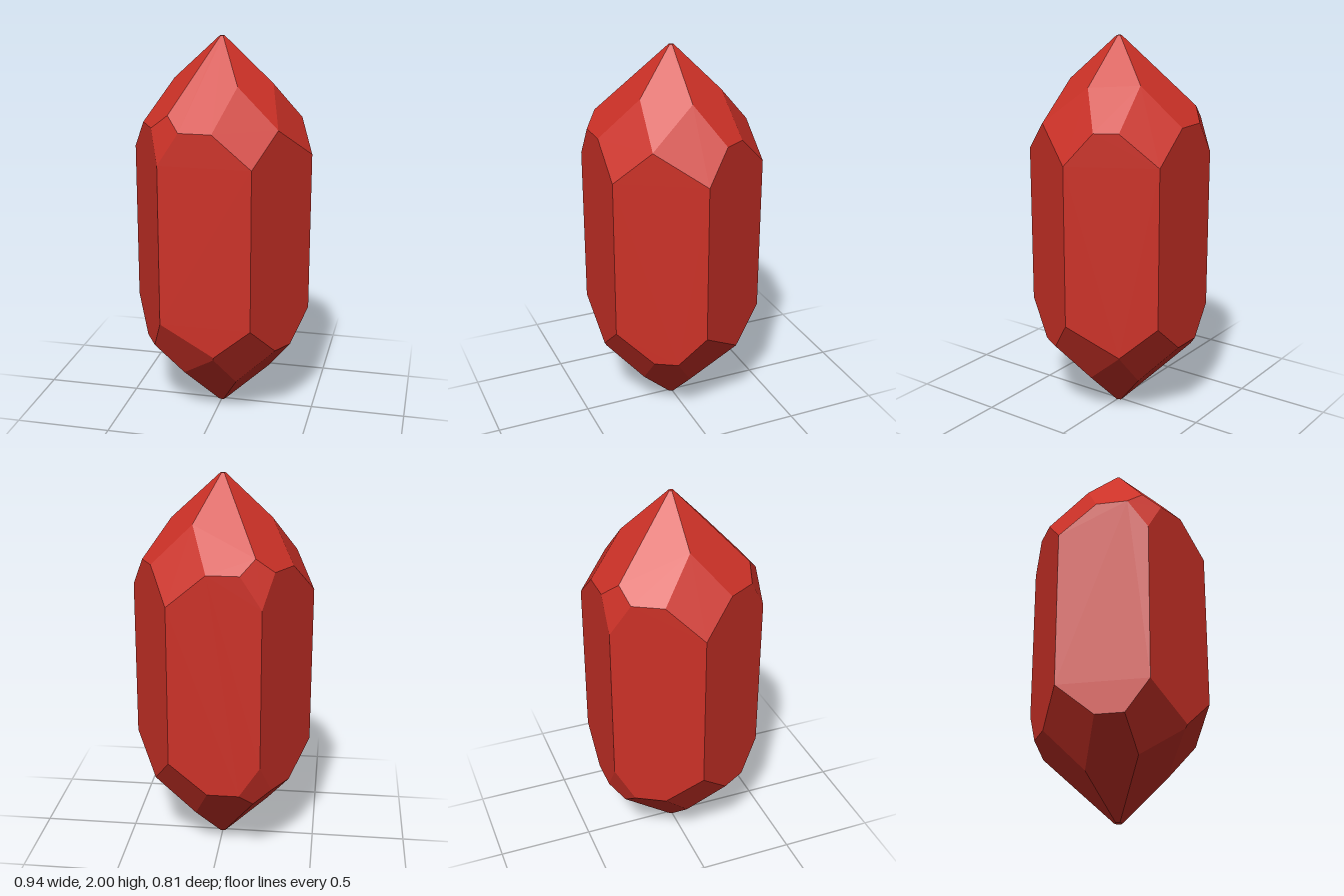
import * as THREE from 'three';
import { ConvexGeometry } from 'three/addons/geometries/ConvexGeometry.js';

const APOTHEM = 0.405;
const RADIUS = APOTHEM / Math.cos(Math.PI / 6);

// Corner facets at 0, 60, ... 300 degrees round from +x towards +z:
// [slope outwards, slope sideways]
const TOP_FACETS = [[1.73, 0.3], [1.68, 0], [3.07, 0], [1.68, 0], [3.07, 0], [1.68, 0]];
const BOTTOM_FACETS = [[1.73, -0.3], [1.68, 0], [1.9, -0.44], [1.68, 0], [3.07, 0], [1.68, 0]];

// Cutting planes; y is measured from the middle of the crystal
function crystalPlanes() {
  const planes = [];
  const add = (x, y, z, w) => {
    const n = new THREE.Vector3(x, y, z);
    const length = n.length();
    planes.push({ n: n.divideScalar(length), w: w / length });
  };
  for (let i = 0; i < 6; i++) {
    const a = (i * Math.PI) / 3 + Math.PI / 6;
    add(Math.cos(a), 0, Math.sin(a), APOTHEM); // prism side
  }
  for (const [up, facets, apex] of [[1, TOP_FACETS, 1.012], [-1, BOTTOM_FACETS, 1.02]]) {
    add(0, up, 0, 1); // blunt tip
    const pitch = (apex - 0.58) / APOTHEM;
    facets.forEach(([out, side], i) => {
      const corner = (i * Math.PI) / 3;
      const a = corner + Math.PI / 6;
      add(pitch * Math.cos(a), up, pitch * Math.sin(a), apex); // point face
      const c = Math.cos(corner), s = Math.sin(corner);
      add(out * c - side * s, up, out * s + side * c, 0.415 + out * RADIUS); // corner facet
    });
  }
  return planes;
}

// Corners of the solid: every meeting of three planes that no other plane cuts off
function solidCorners(planes) {
  const points = [];
  const count = planes.length;
  for (let i = 0; i < count; i++) {
    for (let j = i + 1; j < count; j++) {
      for (let k = j + 1; k < count; k++) {
        const [a, b, c] = [planes[i], planes[j], planes[k]];
        const bc = b.n.clone().cross(c.n);
        const det = a.n.dot(bc);
        if (Math.abs(det) < 1e-6) continue;
        const p = bc.multiplyScalar(a.w)
          .addScaledVector(c.n.clone().cross(a.n), b.w)
          .addScaledVector(a.n.clone().cross(b.n), c.w)
          .divideScalar(det);
        if (planes.some((q) => q.n.dot(p) > q.w + 1e-6)) continue;
        if (points.some((q) => q.distanceTo(p) < 1e-4)) continue;
        points.push(p);
      }
    }
  }
  return points;
}

export function createModel() {
  const group = new THREE.Group();
  group.name = 'crystal';
  const red = new THREE.MeshStandardMaterial({ color: 0xcc3127 });
  red.name = 'crystal red';

  const geometry = new ConvexGeometry(solidCorners(crystalPlanes()));
  geometry.translate(0, 1, 0);
  const gem = new THREE.Mesh(geometry, red);
  gem.name = 'facetedCrystal';
  group.add(gem);
  return group;
}
